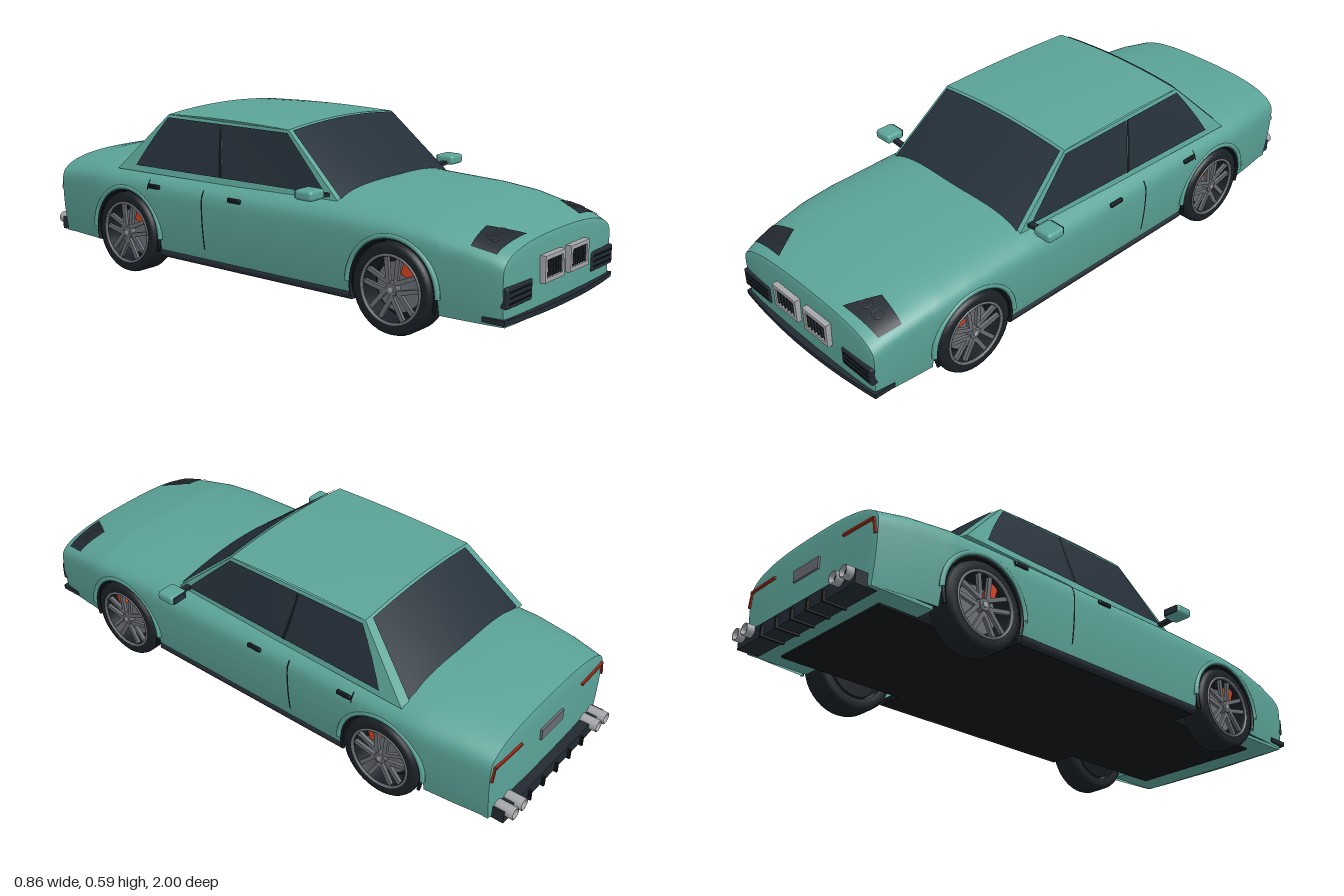
import * as THREE from 'three';
import { RoundedBoxGeometry } from 'three/addons/geometries/RoundedBoxGeometry.js';

const mat = (name, color, side = THREE.DoubleSide) => {
  const m = new THREE.MeshStandardMaterial({ color, side });
  m.name = name;
  return m;
};
const V = (x, y, z) => new THREE.Vector3(x, y, z);
const lerp = THREE.MathUtils.lerp;

// grid surface from a function of u and v
function patch(fn, nu, nv) {
  const pos = [], idx = [];
  for (let j = 0; j <= nv; j++)
    for (let i = 0; i <= nu; i++) pos.push(...fn(i / nu, j / nv).toArray());
  for (let j = 0; j < nv; j++)
    for (let i = 0; i < nu; i++) {
      const a = j * (nu + 1) + i, b = a + nu + 1;
      idx.push(a, a + 1, b, b, a + 1, b + 1);
    }
  const g = new THREE.BufferGeometry();
  g.setAttribute('position', new THREE.Float32BufferAttribute(pos, 3));
  g.setIndex(idx);
  g.computeVertexNormals();
  return g;
}
// bilinear blend of four [a, b] corners
const quad = (c, u, v) => [0, 1].map(k => lerp(lerp(c[0][k], c[1][k], u), lerp(c[3][k], c[2][k], u), v));

// body profiles along z: [z, half width, shoulder height, top height]
const PROFILE = [[-0.93, 0.335, 0.285, 0.38], [-0.82, 0.352, 0.295, 0.4], [-0.68, 0.368, 0.3, 0.41],
  [-0.5, 0.37, 0.3, 0.414], [0.35, 0.37, 0.3, 0.412], [0.6, 0.37, 0.3, 0.4], [0.72, 0.367, 0.293, 0.387],
  [0.85, 0.354, 0.275, 0.358], [0.93, 0.343, 0.255, 0.338], [0.965, 0.336, 0.24, 0.325]];
const N = 2.6, ARCH = 0.157, AXLE_Y = 0.145, AXLES = [0.6, -0.55], BOTTOM = 0.09;
function profile(z) {
  let i = 0;
  while (i < PROFILE.length - 2 && z > PROFILE[i + 1][0]) i++;
  const a = PROFILE[i], b = PROFILE[i + 1], t = (z - a[0]) / (b[0] - a[0]);
  return [1, 2, 3].map(k => lerp(a[k], b[k], t));
}
const wallX = (y, z) => {
  const [w, sh] = profile(z);
  return w * (1 - 0.06 * Math.max(0, (sh - y) / 0.21) ** 2);
};
const topY = (x, z) => {
  const [w, sh, top] = profile(z);
  return sh + (top - sh) * Math.max(0, 1 - (Math.abs(x) / w) ** N) ** (1 / N);
};
function section(u, z, low) {
  const [w, sh, top] = profile(z), q = u < 0.5 ? 2 * u : 2 - 2 * u, s = u <= 0.5 ? 1 : -1;
  if (q <= 0.5) {
    const y = lerp(low, Math.max(sh, low), q * 2);
    return V(s * wallX(y, z), y, z);
  }
  const t = (q - 0.5) * Math.PI, c = Math.max(0, Math.cos(t));
  return V(s * w * c ** (2 / N), sh + (top - sh) * Math.sin(t) ** (2 / N), z);
}

export function createModel() {
  const car = new THREE.Group();
  const paint = mat('body paint', 0x5ba398), glass = mat('dark glass', 0x25303a),
    trim = mat('dark trim', 0x222a32), under = mat('underbody black', 0x10161a),
    tyreM = mat('tyre rubber', 0x1a2026), alloy = mat('wheel alloy', 0x686c72),
    chrome = mat('bright metal', 0xa4a6aa), red = mat('caliper red', 0xd0401e), tail = mat('tail light red', 0x9c2a1a);
  const add = (name, geo, m, x = 0, y = 0, z = 0, parent = car) => {
    const o = new THREE.Mesh(geo, m);
    o.name = name;
    o.position.set(x, y, z);
    parent.add(o);
    return o;
  };
  const box = (name, m, x0, x1, y0, y1, z0, z1) =>
    add(name, new THREE.BoxGeometry(x1 - x0, y1 - y0, z1 - z0), m, (x0 + x1) / 2, (y0 + y1) / 2, (z0 + z1) / 2);

  // lofted body shell with wheel arches cut into its lower edge
  const st = PROFILE.map(p => p[0]).filter(z => AXLES.every(a => Math.abs(z - a) > ARCH + 0.002)).map(z => [z, BOTTOM]);
  for (const a of AXLES) {
    st.push([a - ARCH - 0.001, BOTTOM], [a + ARCH + 0.001, BOTTOM]);
    for (let i = 0; i <= 20; i++) {
      const t = Math.PI * i / 20;
      st.push([a + ARCH * Math.cos(t), AXLE_Y + ARCH * Math.sin(t)]);
    }
  }
  st.sort((p, q) => p[0] - q[0]);
  add('bodyShell', patch((u, v) => section(u, ...st[Math.round(v * (st.length - 1))]), 56, st.length - 1), paint);

  // gently domed nose and tail
  for (const [name, z, d] of [['nosePanel', 0.965, 1], ['tailPanel', -0.93, -1]])
    add(name, patch((u, v) => {
      const s = 1 - v * v, p = section(u, z, BOTTOM);
      return V(p.x * s, BOTTOM + (p.y - BOTTOM) * s, z + d * 0.012 * Math.sqrt(1 - s * s));
    }, 56, 8), paint);

  // floor and sills
  box('floorPan', under, -0.25, 0.25, 0.08, 0.3, -0.85, 0.86);
  box('middleFloor', under, -0.335, 0.335, 0.08, 0.1, -0.39, 0.44);
  box('frontBelly', paint, -0.32, 0.32, 0.088, 0.1, 0.76, 0.965);
  box('rearBelly', paint, -0.32, 0.32, 0.088, 0.1, -0.93, -0.71);
  for (const s of [1, -1]) {
    const sill = add('sill', new THREE.CylinderGeometry(0.014, 0.014, 0.83, 12), trim, s * 0.343, 0.094, 0.025);
    sill.rotation.x = Math.PI / 2;
  }

  // cabin: faces described between the belt line and the roof edge
  const roofY = s => 0.572 + 0.016 * (1 - s * s);
  const end = (xb, zb, xt, zt) => (u, v) => {
    const s = 2 * u - 1;
    return V(s * lerp(xb, xt, v), lerp(0.368 + 0.037 * (1 - s * s), roofY(s), v), lerp(zb, zt, v));
  };
  const front = end(0.315, 0.365, 0.285, 0.135), rear = end(0.345, -0.61, 0.278, -0.415);
  const sideFace = k => (u, v) => V(k * lerp(lerp(0.315, 0.345, u), lerp(0.285, 0.278, u), v),
    lerp(0.368, 0.572, v), lerp(lerp(0.365, -0.61, u), lerp(0.135, -0.415, u), v));
  const pane = (name, fn, c, off, m = glass) =>
    add(name, patch((u, v) => fn(...quad(c, u, v)).add(off), 12, 4), m);
  add('windscreenFrame', patch(front, 16, 4), paint);
  add('rearWindowFrame', patch(rear, 16, 4), paint);
  add('roof', patch((u, v) => {
    const s = 2 * u - 1;
    return V(s * lerp(0.285, 0.278, v), roofY(s) + 0.006 * Math.sin(Math.PI * v), lerp(0.135, -0.415, v));
  }, 16, 8), paint);
  pane('windscreen', front, [[0.02, 0], [0.98, 0], [0.98, 0.97], [0.02, 0.97]], V(0, 0.003, 0.003));
  pane('rearWindow', rear, [[0.05, 0.02], [0.95, 0.02], [0.95, 0.97], [0.05, 0.97]], V(0, 0.003, -0.003));
  for (const s of [1, -1]) {
    const f = sideFace(s);
    add('cabinSide', patch(f, 8, 4), paint);
    pane('frontSideWindow', f, [[0.03, 0.1], [0.495, 0.1], [0.525, 0.95], [0.02, 0.95]], V(s * 0.004, 0.001, 0));
    pane('rearSideWindow', f, [[0.505, 0.1], [0.925, 0.1], [0.975, 0.95], [0.535, 0.95]], V(s * 0.004, 0.001, 0));
    pane('centrePillar', f, [[0.493, 0.1], [0.507, 0.1], [0.537, 0.95], [0.523, 0.95]], V(s * 0.006, 0.001, 0), under);
  }

  // one wheel, axle along x with the outer face on +x
  const turn = g => g.rotateZ(-Math.PI / 2);
  const lathe = p => turn(new THREE.LatheGeometry(p.map(q => new THREE.Vector2(...q)), 40));
  function wheel(x, z) {
    const g = new THREE.Group();
    g.name = 'wheel';
    g.position.set(x, AXLE_Y, z);
    if (x < 0) g.rotation.y = Math.PI;
    const part = (n, geo, m, px = 0, py = 0, pz = 0) => add(n, geo, m, px, py, pz, g);
    part('tyre', lathe([[0.108, -0.05], [0.13, -0.053], [0.141, -0.046], [0.145, -0.035], [0.145, 0.035],
      [0.141, 0.046], [0.13, 0.053], [0.108, 0.05]]), tyreM);
    part('rimBarrel', lathe([[0.109, 0.05], [0.101, 0.042], [0.1, -0.05]]), tyreM);
    part('wheelBack', turn(new THREE.CylinderGeometry(0.1, 0.1, 0.006, 32)), under, -0.02);
    part('brakeDisc', turn(new THREE.CylinderGeometry(0.08, 0.08, 0.01, 32)), alloy);
    part('rimLip', new THREE.TorusGeometry(0.107, 0.005, 8, 40).rotateY(Math.PI / 2), alloy, 0.049);
    part('hub', turn(new THREE.CylinderGeometry(0.02, 0.024, 0.02, 20)), alloy, 0.037);
    part('hubCap', turn(new THREE.CylinderGeometry(0.01, 0.01, 0.006, 16)), chrome, 0.048);
    for (let i = 0; i < 5; i++)
      for (const k of [-1, 1]) {
        const spoke = part('spoke', new THREE.BoxGeometry(0.012, 0.088, 0.014).translate(0, 0.06, k * 0.012), alloy, 0.038);
        spoke.rotation.x = i * Math.PI * 0.4 + k * 0.1;
      }
    car.add(g);
  }

  for (const s of [1, -1]) {
    for (const z of AXLES) {
      wheel(s * 0.319, z);
      const caliper = add('brakeCaliper', new RoundedBoxGeometry(0.024, 0.055, 0.036, 2, 0.006), red, s * 0.337, 0.213, z + 0.045);
      caliper.rotation.x = 0.3;
      // dark arch lining, its lip and the painted flare
      const arc = (r, t, a) => new THREE.TorusGeometry(r, t, 8, 32, Math.PI + 2 * a).rotateZ(-a).rotateY(Math.PI / 2);
      add('archLining', turn(new THREE.CylinderGeometry(ARCH, ARCH, 0.115, 32, 1, true, Math.PI, Math.PI)), under, s * 0.305, AXLE_Y, z);
      add('archLip', arc(0.156, 0.006, 0.3), under, s * 0.36, AXLE_Y, z);
      add('archFlare', arc(0.165, 0.009, 0), paint, s * 0.364, AXLE_Y, z);
    }

    // door seams and handles
    const strip = (name, z0, z1, y0, y1, off) => add(name, patch((u, v) => {
      const z = lerp(z0, z1, u), y = lerp(y0, y1, v);
      const [w, sh, top] = profile(z), k = Math.max(0, (y - sh) / (top - sh));
      return V(s * ((k > 0 ? w * (1 - k ** N) ** (1 / N) : wallX(y, z)) + off), y, z);
    }, 2, 10), under);
    strip('doorSeam', -0.172, -0.178, 0.14, 0.345, 0.002);
    strip('rearDoorSeam', -0.433, -0.438, 0.315, 0.35, 0.002);
    for (const z of [-0.03, -0.405]) add('doorHandle', new RoundedBoxGeometry(0.012, 0.015, 0.055, 2, 0.004), under, s * 0.368, 0.33, z);

    // door mirror
    add('mirror', new RoundedBoxGeometry(0.072, 0.034, 0.07, 3, 0.012), paint, s * 0.396, 0.404, 0.312);
    const stalk = add('mirrorStalk', new THREE.BoxGeometry(0.075, 0.012, 0.02), trim, s * 0.34, 0.392, 0.315);
    stalk.rotation.z = s * 0.1;
    add('mirrorGlass', new THREE.BoxGeometry(0.056, 0.024, 0.004), glass, s * 0.396, 0.404, 0.277);

    // headlamp draped over the bonnet corner, with two ring lamps
    const lampC = [[0.335, 0.855], [0.225, 0.84], [0.165, 0.94], [0.32, 0.932]];
    add('headlamp', patch((u, v) => {
      const [x, z] = quad(lampC, u, v);
      return V(s * x, topY(x, z) + 0.004, z);
    }, 10, 6), trim);
    for (const x of [0.215, 0.268]) {
      const ring = add('lampRing', new THREE.TorusGeometry(0.016, 0.002, 6, 24), alloy, s * x, topY(x, 0.89) + 0.005, 0.89);
      const dx = (topY(x + 0.01, 0.89) - topY(x - 0.01, 0.89)) / 0.02, dz = (topY(x, 0.9) - topY(x, 0.88)) / 0.02;
      ring.lookAt(ring.position.clone().add(V(-dx * s, 1, -dz)));
    }

    // grille with frame and bars
    const rect = (P, w, h) => P.moveTo(-w, -h).lineTo(w, -h).lineTo(w, h).lineTo(-w, h).closePath();
    const frame = rect(new THREE.Shape(), 0.057, 0.038);
    frame.holes.push(rect(new THREE.Path(), 0.05, 0.031));
    add('grilleFrame', new THREE.ExtrudeGeometry(frame, { depth: 0.02, bevelSize: 0.004, bevelThickness: 0.003, bevelSegments: 2 }),
      chrome, s * 0.079, 0.225, 0.97);
    add('grilleBack', new THREE.BoxGeometry(0.1, 0.062, 0.01), under, s * 0.079, 0.225, 0.977);
    for (let i = 0; i < 6; i++)
      add('grilleBar', new THREE.BoxGeometry(0.006, 0.062, 0.008), trim, s * (0.079 + (i - 2.5) * 0.0165), 0.225, 0.985);

    // side intake with slats
    add('sideIntake', new RoundedBoxGeometry(0.146, 0.064, 0.03, 2, 0.006), trim, s * 0.261, 0.178, 0.964);
    for (let i = -1; i <= 1; i++)
      add('intakeSlat', new THREE.BoxGeometry(0.12, 0.004, 0.006), under, s * 0.261, 0.178 + i * 0.017, 0.978);

    // tail light: long bar with a short outer drop
    const bar = add('tailLightBar', new THREE.BoxGeometry(0.14, 0.008, 0.009), tail, s * 0.25, 0.302, -0.939);
    bar.rotation.y = s * -0.03;
    const drop = add('tailLightDrop', new THREE.BoxGeometry(0.008, 0.055, 0.009), tail, s * 0.324, 0.278, -0.934);
    drop.rotation.z = s * 0.2;

    // twin exhaust pipes
    for (const x of [0.23, 0.28]) {
      add('exhaustPipe', lathe([[0.015, -0.03], [0.021, -0.03], [0.021, 0.04], [0.016, 0.04], [0.015, -0.03]]).rotateY(Math.PI / 2),
        chrome, s * x, 0.122, -0.96);
      add('exhaustBore', new THREE.CircleGeometry(0.016, 20).rotateY(Math.PI), under, s * x, 0.122, -0.985);
    }
  }

  // bowed front lip
  const lip = new THREE.Shape();
  lip.moveTo(-0.34, -0.9).lineTo(-0.34, -0.975).quadraticCurveTo(0, -1.025, 0.34, -0.975).lineTo(0.34, -0.9);
  add('frontLip', new THREE.ExtrudeGeometry(lip, { depth: 0.016, bevelEnabled: false, curveSegments: 16 }).rotateX(-Math.PI / 2), trim, 0, 0.099, 0);

  // rear diffuser with fins, and number plate panel
  box('diffuser', trim, -0.305, 0.305, 0.085, 0.13, -0.975, -0.9);
  for (let i = -2; i <= 2; i++) box('diffuserFin', under, i * 0.08 - 0.004, i * 0.08 + 0.004, 0.078, 0.115, -0.985, -0.9);
  box('platePanel', alloy, -0.065, 0.065, 0.238, 0.278, -0.947, -0.938);
  return car;
}
